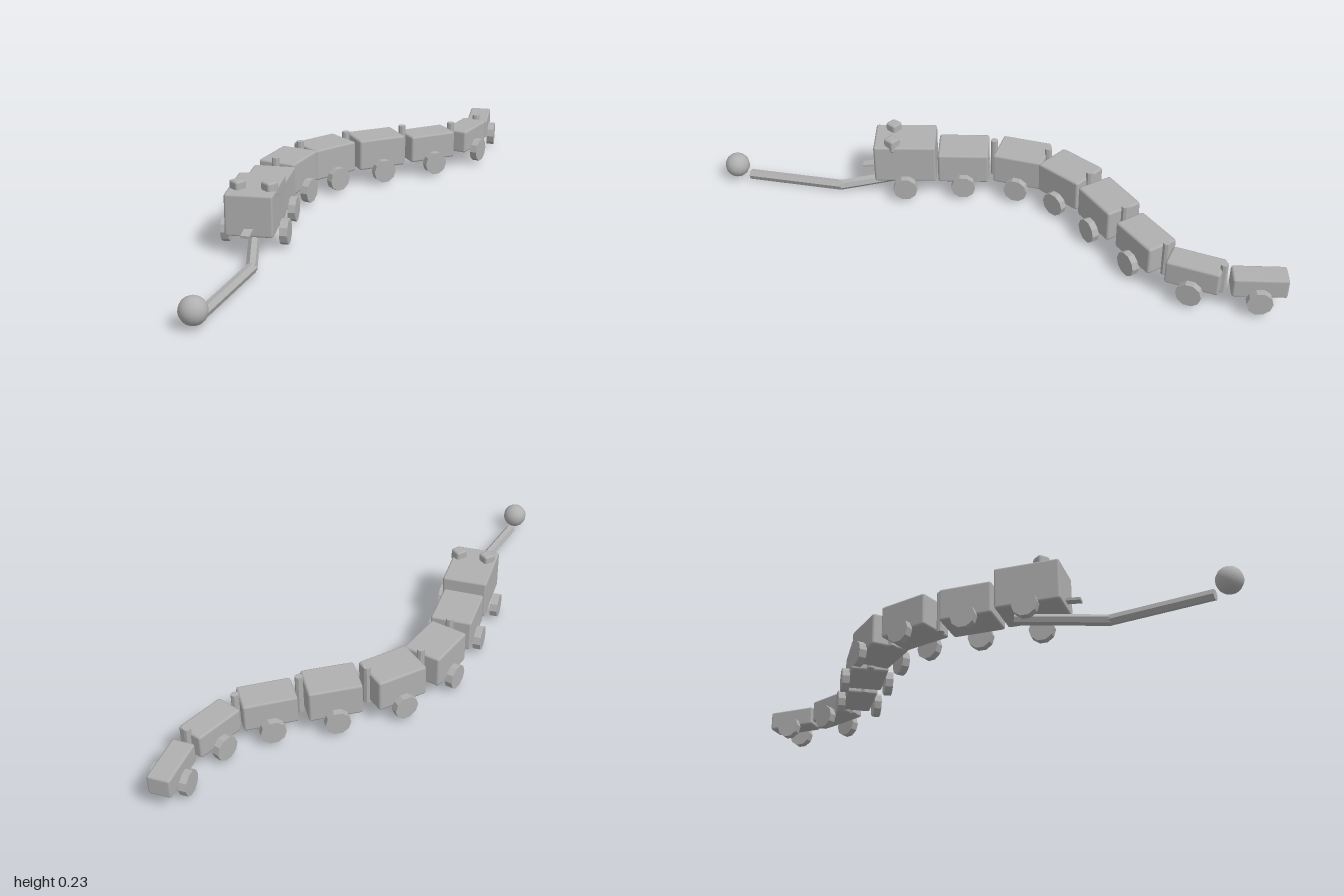
import * as THREE from 'three';
import { RoundedBoxGeometry } from 'three/addons/geometries/RoundedBoxGeometry.js';
import { toCreasedNormals } from 'three/addons/utils/BufferGeometryUtils.js';

const rad = THREE.MathUtils.degToRad;
const WHEEL_R = 0.042, AXLE_Y = 0.055;

export function createModel() {
  const grey = new THREE.MeshStandardMaterial({ color: 0xb0b0b0 });
  grey.name = 'light grey';
  const model = new THREE.Group();
  model.name = 'pullAlongToy';

  const add = (parent, name, geometry, x, y, z) => {
    const mesh = new THREE.Mesh(geometry, grey);
    mesh.name = name;
    mesh.position.set(x, y, z);
    parent.add(mesh);
    return mesh;
  };
  const prism = (r, h, sides) => toCreasedNormals(new THREE.CylinderGeometry(r, r, h, sides), 0.3);
  const wheelGeo = prism(WHEEL_R, 0.026, 10).rotateZ(Math.PI / 2);

  // A bevelled block on two wheels, turned to follow the curve of the body
  const carriage = (name, x, z, angle, width, length, bottom, top, wheelOffset) => {
    const group = new THREE.Group();
    group.name = name;
    group.position.set(x, 0, z);
    group.rotation.y = rad(angle);
    model.add(group);
    const h = top - bottom;
    add(group, 'block', new RoundedBoxGeometry(width, h, length, 1, 0.008), 0, bottom + h / 2, 0);
    for (const side of [-1, 1]) add(group, 'wheel', wheelGeo, side * wheelOffset, AXLE_Y, 0);
    return group;
  };

  // Head with tongue and eyes
  const head = carriage('head', -0.02, 0.41, 31, 0.155, 0.215, 0.07, 0.21, 0.095);
  const tongue = add(head, 'tongue', new THREE.BoxGeometry(0.028, 0.009, 0.06), 0, 0.093, 0.125);
  tongue.rotation.x = 0.1;
  for (const [x, z] of [[-0.037, 0.47], [0.05, 0.418]]) {
    const eye = add(model, 'eye', new RoundedBoxGeometry(0.042, 0.047, 0.042, 1, 0.008), x, 0.2135, z);
    eye.rotation.y = rad(-10);
  }

  // Body segments, front to back: x, z, heading, width, top
  const segments = [
    [-0.125, 0.235, 30, 0.142, 0.173],
    [-0.21, 0.045, 14, 0.136, 0.173],
    [-0.21, -0.147, -12, 0.136, 0.173],
    [-0.13, -0.338, -27.5, 0.13, 0.173],
    [-0.034, -0.523, -26, 0.11, 0.16],
    [0.003, -0.718, 8.5, 0.092, 0.145],
    [-0.06, -0.908, 29, 0.077, 0.132],
  ];
  segments.forEach(([x, z, angle, w, top], i) =>
    carriage(`bodySegment${i + 1}`, x, z, angle, w, 0.177, 0.062, top, w / 2 + 0.011));

  // Joint pins between the segments: x, z, top
  const pins = [
    [-0.18, 0.142, 0.195], [-0.235, -0.045, 0.195], [-0.185, -0.235, 0.195],
    [-0.075, -0.425, 0.195], [0.008, -0.615, 0.178], [-0.007, -0.808, 0.162],
  ];
  for (const [x, z, top] of pins) add(model, 'jointPin', prism(0.013, top - 0.055, 8), x, (top + 0.055) / 2, z);

  // Pull cord in two straight lengths, ending in a ball
  const path = [[-0.062, 0.05, 0.37], [0.133, 0.025, 0.592], [0.243, 0.021, 0.912]]
    .map(p => new THREE.Vector3(...p));
  for (let i = 0; i < 2; i++) {
    const dir = path[i + 1].clone().sub(path[i]);
    const mid = path[i].clone().add(path[i + 1]).multiplyScalar(0.5);
    const cord = add(model, 'pullCord', prism(0.018, dir.length() + 0.006, 6), mid.x, mid.y, mid.z);
    cord.quaternion.setFromUnitVectors(new THREE.Vector3(0, 1, 0), dir.normalize());
  }
  add(model, 'pullBall', new THREE.SphereGeometry(0.043, 14, 10), 0.263, 0.058, 0.957);

  return model;
}
